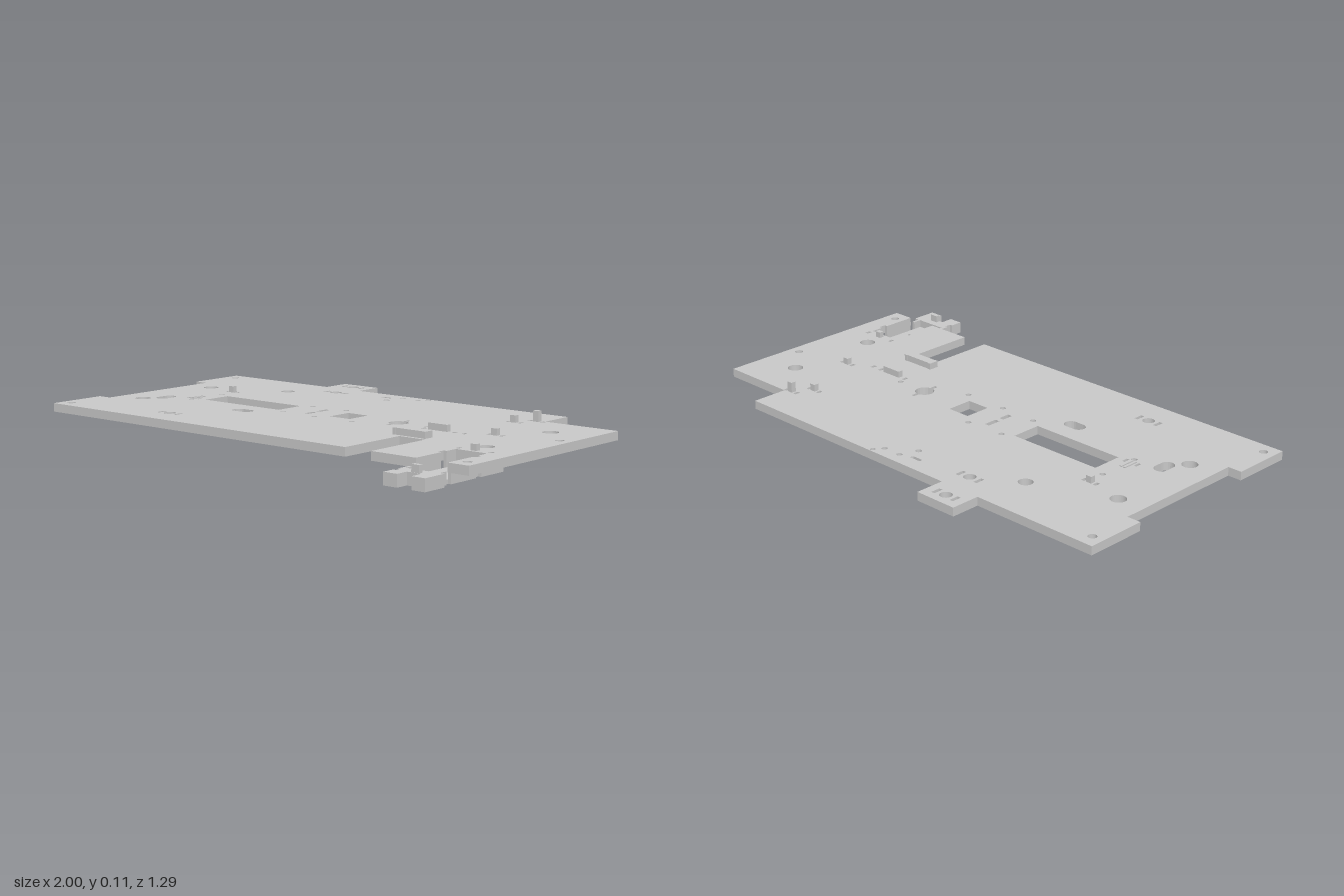
import * as THREE from 'three';

const BASE = 0.037, TOP = 0.07;

// Path helpers work in plan coordinates (x, z); shapes are drawn with y = -z.
const poly = (pts, Type = THREE.Path) => new Type(pts.map(([x, z]) => new THREE.Vector2(x, -z)));
const rect = (x, z, w, d) => poly([
  [x - w / 2, z - d / 2], [x + w / 2, z - d / 2], [x + w / 2, z + d / 2], [x - w / 2, z + d / 2]]);
const circle = (x, z, r) => new THREE.Path().absarc(x, -z, r, 0, Math.PI * 2, true);

// Rounded slot: two half circles along its longer side
function slot(x, z, w, d) {
  const r = Math.min(w, d) / 2, pts = [], n = 10;
  const dx = w / 2 - r, dz = d / 2 - r, a0 = w > d ? -Math.PI / 2 : 0;
  for (const s of [1, -1]) {
    for (let i = 0; i <= n; i++) {
      const a = a0 + (i / n) * Math.PI;
      pts.push([x + s * (dx + r * Math.cos(a)), z + s * (dz + r * Math.sin(a))]);
    }
  }
  return poly(pts);
}

// Round hole widened by a narrow slot through its middle
function keyhole(x, z, r, w, d) {
  const pts = [], a = Math.asin(w / 2 / r), n = 10;
  for (const s of [1, -1]) {
    for (let i = 0; i <= n; i++) {
      const t = -Math.PI / 2 + a + (i / n) * (Math.PI - 2 * a);
      pts.push([x + s * r * Math.cos(t), z + s * r * Math.sin(t)]);
    }
    pts.push([x + s * w / 2, z + s * d / 2], [x - s * w / 2, z + s * d / 2]);
  }
  return poly(pts);
}

export function createModel() {
  const model = new THREE.Group();
  const grey = new THREE.MeshStandardMaterial({ color: 0xc8c8c8 });
  grey.name = 'grey plastic';

  const add = (name, geometry, parent = model) => {
    const mesh = new THREE.Mesh(geometry, grey);
    mesh.name = name;
    parent.add(mesh);
    return mesh;
  };
  // Box from its limits in x, y and z
  const box = (name, x0, x1, y0, y1, z0, z1, parent) =>
    add(name, new THREE.BoxGeometry(x1 - x0, y1 - y0, z1 - z0), parent)
      .position.set((x0 + x1) / 2, (y0 + y1) / 2, (z0 + z1) / 2);

  // Base plate outline (counter-clockwise), with the rear tab, front slot and holder cutout
  const plate = poly([
    [-1, -0.53], [-1, -0.29], [-0.945, -0.29], [-0.945, 0.25], [-1, 0.25], [-1, 0.49],
    [0.482, 0.49], [0.482, 0.2], [0.595, 0.2], [0.595, 0.49],
    [0.785, 0.49], [0.785, 0.355], [0.772, 0.355], [0.772, 0.325], [0.785, 0.325], [0.785, 0.275],
    [0.915, 0.275], [0.915, 0.325], [0.928, 0.325], [0.928, 0.355], [0.915, 0.355], [0.915, 0.49],
    [1, 0.49], [1, -0.387], [0.69, -0.387], [0.69, -0.53],
    [-0.315, -0.53], [-0.315, -0.645], [-0.487, -0.645], [-0.487, -0.53]], THREE.Shape);

  // Round holes
  const rounds = [
    [-0.955, -0.476, 0.016], [-0.955, 0.438, 0.016], [0.955, -0.088, 0.016], [0.955, 0.438, 0.016],
    [-0.835, -0.209, 0.03], [-0.835, 0.173, 0.03], [0.835, -0.209, 0.03], [0.835, 0.173, 0.03],
    [-0.523, -0.332, 0.027], [-0.185, -0.1, 0.011], [-0.185, 0.067, 0.011],
    [-0.025, -0.11, 0.011], [-0.025, 0.073, 0.011], [0.157, 0.073, 0.011], [0.435, -0.018, 0.011],
    [-0.67, -0.1, 0.011], [-0.67, 0.068, 0.011]];
  for (const [x, z, r] of rounds) plate.holes.push(circle(x, z, r));

  // Screw holes with a small slot on each side
  for (const [x, z] of [[-0.4, -0.593], [-0.358, -0.437], [-0.488, 0.364]]) {
    plate.holes.push(circle(x, z, 0.023));
    for (const s of [-1, 1]) plate.holes.push(rect(x + s * 0.044, z, 0.015, 0.038));
  }

  // Windows and slots
  plate.holes.push(
    rect(-0.424, -0.018, 0.388, 0.122), rect(0.065, -0.019, 0.095, 0.105),
    rect(-0.09, -0.051, 0.02, 0.055), rect(-0.09, 0.02, 0.02, 0.046),
    slot(-0.783, 0.096, 0.053, 0.09), slot(-0.323, 0.142, 0.09, 0.053),
    keyhole(0.302, -0.018, 0.037, 0.014, 0.124));

  // Clips: x, z, half width, top height, offset of the holes beside them
  const clips = [
    [-0.68, -0.175, 0.012, 0.095, 0.027], [0.61, -0.305, 0.012, 0.097, 0.027],
    [0.663, -0.373, 0.012, 0.11, 0.027], [0.723, -0.035, 0.012, 0.095, 0.027],
    [0.848, 0.252, 0.012, 0.093, 0.068], [0.513, 0.014, 0.043, 0.095, 0.068]];
  for (const [x, z, , , off] of clips) {
    for (const s of [-1, 1]) plate.holes.push(rect(x + s * off, z, 0.014, 0.022));
  }
  plate.holes.push(rect(0.625, 0.014, 0.014, 0.022));
  for (const x of [-0.707, -0.653]) plate.holes.push(rect(x, 0.042, 0.012, 0.026));

  // Shallow blind holes near the rear edge
  const pits = [[-0.05, -0.48, 0.011], [0.025, -0.482, 0.011], [0.05, -0.515, 0.01], [-0.077, -0.412, 0.012]];
  for (const [x, z, r] of pits) plate.holes.push(circle(x, z, r));
  plate.holes.push(slot(-0.118, -0.463, 0.05, 0.014));

  const plateGeometry = new THREE.ExtrudeGeometry(plate, { depth: TOP - BASE, bevelEnabled: false, curveSegments: 20 });
  add('basePlate', plateGeometry.rotateX(-Math.PI / 2)).position.y = BASE;
  for (const [x, z, r] of pits) {
    add('pitFloor', new THREE.CylinderGeometry(r, r, 0.012, 20)).position.set(x, BASE + 0.006, z);
  }
  box('pitFloor', -0.143, -0.093, BASE, BASE + 0.012, -0.47, -0.456);

  // Upright clips and two low ribs
  for (const [x, z, half, top] of clips) box('clipPost', x - half, x + half, TOP, top, z - 0.01, z + 0.01);
  for (const x of [-0.69, -0.674]) box('smallRib', x - 0.004, x + 0.004, TOP, TOP + 0.004, -0.01, 0.055);

  // Raised bar behind the front slot
  box('slotBar', 0.456, 0.574, TOP, 0.095, 0.149, 0.187);
  for (const x of [0.443, 0.574]) box('slotBarEnd', x, x + 0.013, TOP, 0.095, 0.147, 0.189);

  // Sunken holder below the front cutout
  const holder = new THREE.Group();
  holder.name = 'holder';
  model.add(holder);
  box('holderFloor', 0.785, 0.915, 0, 0.015, 0.2, 0.545, holder);
  box('holderBack', 0.785, 0.915, 0.015, BASE, 0.2, 0.275, holder);
  for (const x of [0.772, 0.915]) {
    box('holderRearWall', x, x + 0.013, 0, BASE, 0.2, 0.325, holder);
    box('holderSideWall', x, x + 0.013, 0, BASE, 0.355, 0.488, holder);
  }
  box('holderFrontBridge', 0.787, 0.93, 0, 0.045, 0.545, 0.595, holder);
  box('holderFrontPost', 0.775, 0.787, 0, 0.045, 0.51, 0.57, holder);
  box('holderFrontPost', 0.915, 0.926, 0, 0.045, 0.51, 0.545, holder);
  box('holderFoot', 0.775, 0.832, 0, 0.045, 0.595, 0.645, holder);
  box('holderFoot', 0.89, 0.945, 0, 0.045, 0.595, 0.645, holder);
  box('holderFootSide', 0.93, 0.945, 0, 0.045, 0.545, 0.595, holder);
  box('holderClip', 0.848, 0.88, 0.045, 0.072, 0.575, 0.593, holder);

  return model;
}
